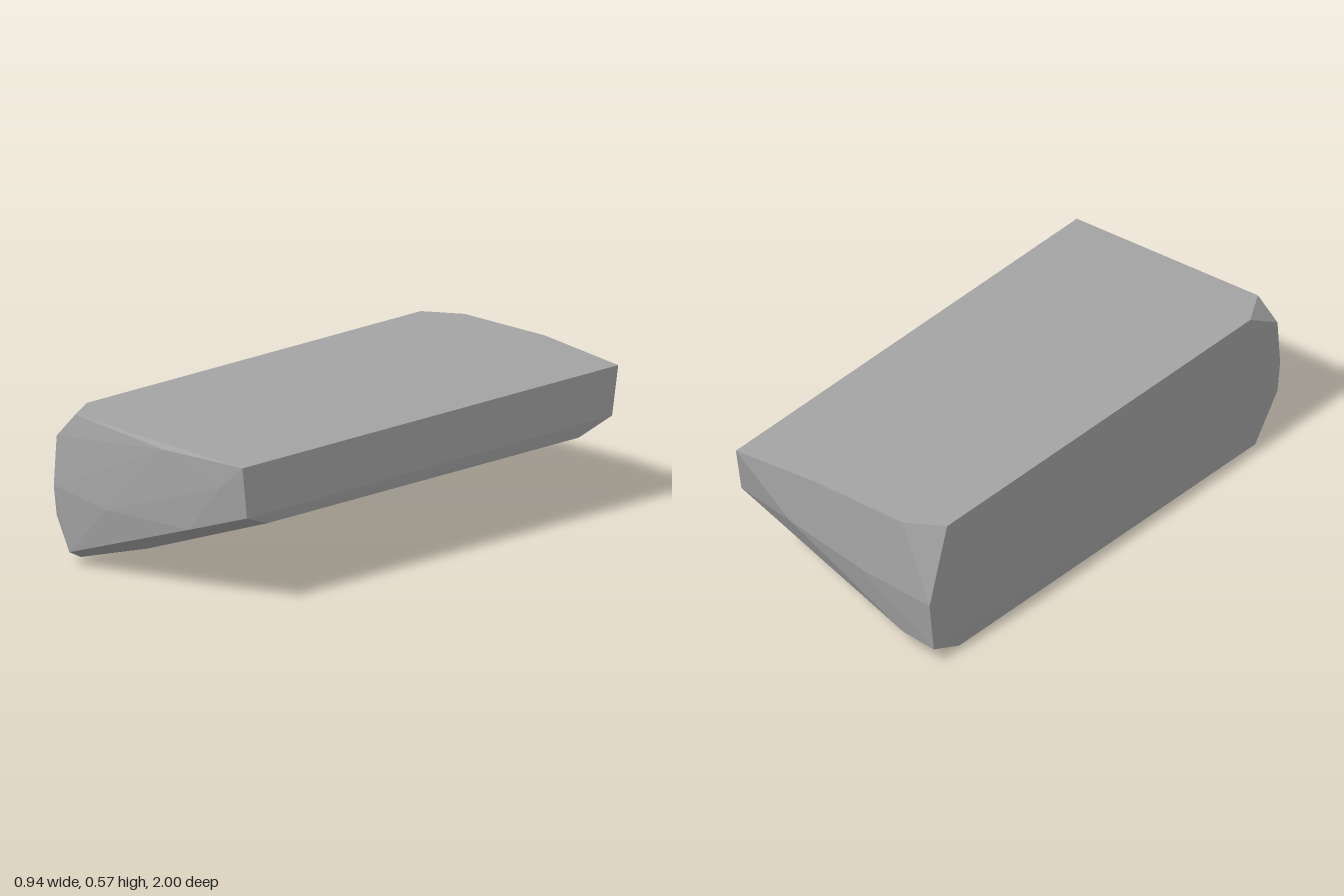
import * as THREE from 'three';
import { ConvexGeometry } from 'three/addons/geometries/ConvexGeometry.js';

const points = (list) => list.map(([x, y, z]) => new THREE.Vector3(x, y, z));

export function createModel() {
  const model = new THREE.Group();
  model.name = 'stoneBlock';
  const stone = new THREE.MeshStandardMaterial({ color: 0xa3a3a3, flatShading: true });
  stone.name = 'grey stone';

  // chipped front end: rim, then the slightly bulging face
  const front = points([
    [-0.47, 0.577, 0.83], [-0.39, 0.577, 0.97], [-0.47, 0.485, 0.985],
    [-0.47, 0.3, 1.0], [-0.47, 0.185, 0.985], [-0.46, 0.005, 0.87],
    [-0.41, 0.055, 0.98], [-0.13, 0.1, 0.86], [0.465, 0.31, 0.84],
    [0.468, 0.35, 0.95], [0.465, 0.543, 0.97],
    [0.07, 0.54, 0.985], [-0.2, 0.26, 1.0], [0.36, 0.45, 0.978], [0.2, 0.26, 0.978],
  ]);

  // chipped back end
  const back = points([
    [-0.47, 0.577, -0.9], [-0.33, 0.577, -0.985], [0.08, 0.577, -0.985],
    [-0.47, 0.277, -1.0], [-0.465, 0.07, -0.97], [-0.46, 0.005, -0.82],
    [-0.32, 0.08, -0.965], [-0.13, 0.1, -0.81], [0.465, 0.31, -0.77],
    [0.468, 0.36, -0.94], [0.465, 0.543, -0.975],
    [-0.15, 0.3, -1.0], [0.2, 0.36, -0.99], [0.25, 0.27, -0.92],
  ]);

  // wedge-shaped slab spanning both ends
  const slab = new THREE.Mesh(new ConvexGeometry([...front, ...back]), stone);
  slab.name = 'stoneSlab';
  model.add(slab);
  return model;
}
